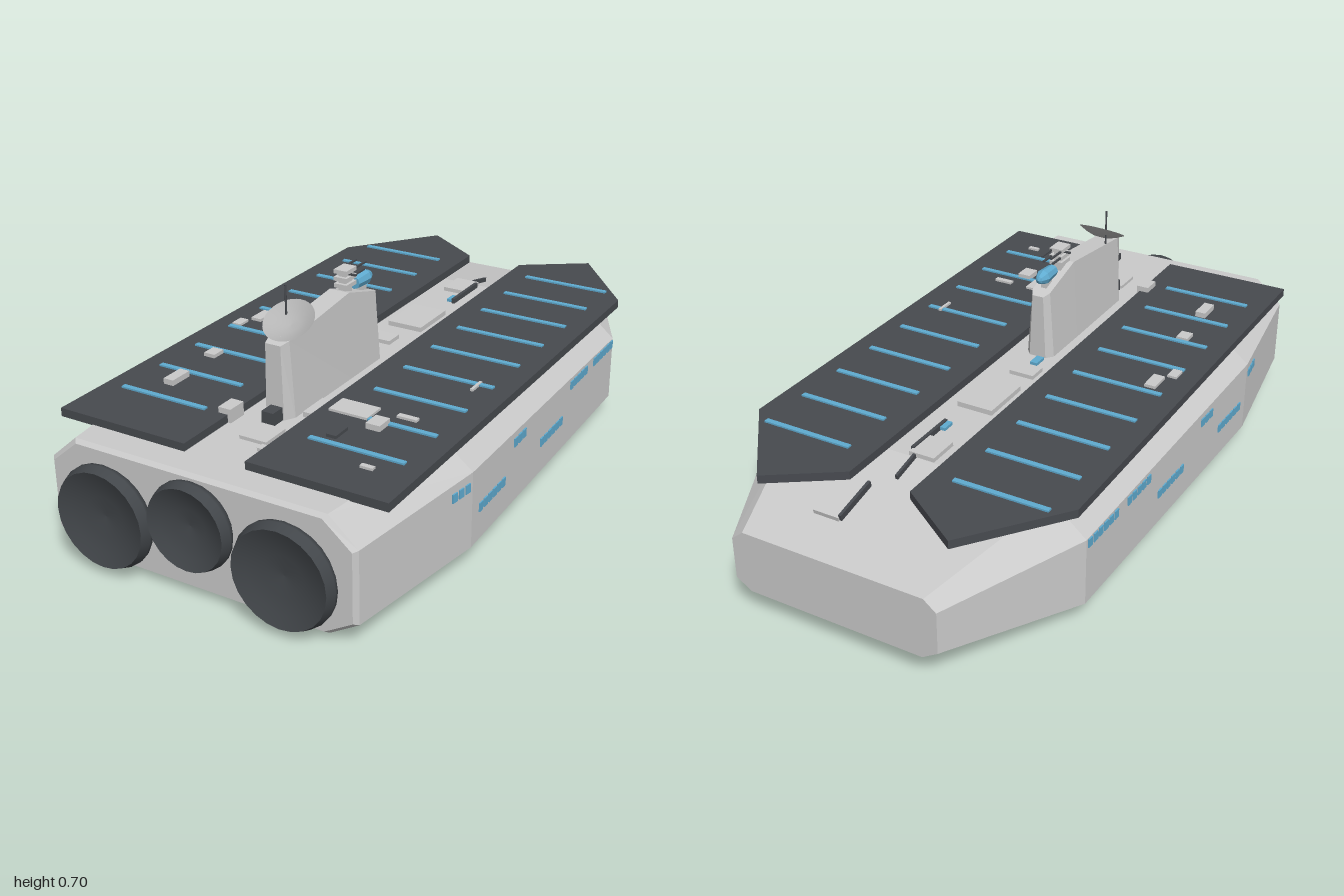
import * as THREE from 'three';

function mat(name, color) {
  const m = new THREE.MeshStandardMaterial({ color });
  m.name = name;
  return m;
}

// Skin a list of rings (ordered from -z to +z, each counter-clockwise seen from +z)
function loft(rings) {
  const pos = [];
  const tri = (a, b, c) => pos.push(...a, ...b, ...c);
  const n = rings[0].length;
  for (let s = 0; s < rings.length - 1; s++) {
    for (let i = 0; i < n; i++) {
      const j = (i + 1) % n, A = rings[s], B = rings[s + 1];
      tri(A[i], A[j], B[j]);
      tri(A[i], B[j], B[i]);
    }
  }
  const back = rings[0], front = rings[rings.length - 1];
  for (let i = 1; i < n - 1; i++) {
    tri(front[0], front[i], front[i + 1]);
    tri(back[0], back[i + 1], back[i]);
  }
  const g = new THREE.BufferGeometry();
  g.setAttribute('position', new THREE.Float32BufferAttribute(pos, 3));
  g.computeVertexNormals();
  return g;
}

export function createModel() {
  const grey = mat('hull grey', 0xcacaca);
  const dark = mat('dark panel', 0x474a4f);
  const blue = mat('window blue', 0x5fabd0);
  const dishGrey = mat('dish grey', 0xb4b4b4);
  dishGrey.side = THREE.DoubleSide;
  const engineDark = mat('engine dark', 0x42464a);
  engineDark.side = THREE.DoubleSide;

  const root = new THREE.Group();
  const add = (name, geo, material, parent = root) => {
    const m = new THREE.Mesh(geo, material);
    m.name = name;
    parent.add(m);
    return m;
  };
  // Box given by its extents
  const box = (name, material, x0, x1, y0, y1, z0, z1, parent = root) => {
    const m = add(name, new THREE.BoxGeometry(x1 - x0, y1 - y0, z1 - z0), material, parent);
    m.position.set((x0 + x1) / 2, (y0 + y1) / 2, (z0 + z1) / 2);
    return m;
  };

  // Hull: z, half widths at top, side and bottom, then heights from top to bottom
  const stations = [
    [-1, 0.28, 0.317, 0.27, 0.265, 0.235, 0.11, 0.08],
    [-0.59, 0.41, 0.515, 0.42, 0.355, 0.265, 0.06, 0],
    [0.47, 0.45, 0.54, 0.43, 0.36, 0.288, 0.06, 0],
    [0.94, 0.39, 0.475, 0.39, 0.36, 0.285, 0.075, 0.023],
    [0.952, 0.38, 0.463, 0.38, 0.35, 0.28, 0.08, 0.03],
  ];
  add('hull', loft(stations.map(([z, t, w, b, y3, y2, y1, y0]) => [
    [t, y3, z], [-t, y3, z], [-w, y2, z], [-w, y1, z],
    [-b, y0, z], [b, y0, z], [w, y1, z], [w, y2, z],
  ])), grey);

  // Side windows: first z, count, height
  const sideAt = (z) => {
    const i = z > 0.47 ? 2 : 1, a = stations[i], b = stations[i + 1];
    const slope = (b[2] - a[2]) / (b[0] - a[0]);
    return [a[2] + slope * (z - a[0]), slope];
  };
  const rows = [[0.553, 3, 0.25], [0.192, 3, 0.25], [-0.23, 5, 0.25], [-0.425, 6, 0.25],
    [0.417, 6, 0.16], [-0.005, 6, 0.16]];
  for (const side of [-1, 1]) {
    for (const [z0, count, y] of rows) {
      for (let k = 0; k < count; k++) {
        const z = z0 - k * 0.0295, [w, slope] = sideAt(z);
        const m = add('sideWindow', new THREE.BoxGeometry(0.008, 0.026, 0.02), blue);
        m.position.set(side * w, y, z);
        m.rotation.y = side * Math.atan(slope);
      }
    }
  }

  // Engine nozzles with shallow bowls
  for (const [x, y, r] of [[-0.28, 0.17, 0.15], [0, 0.225, 0.126], [0.28, 0.17, 0.15]]) {
    const profile = [[0.86, -0.01], [1, 0.014], [1, 0.024], [0.93, 0.05]];
    const bowl = [[0.93, 0.05], [0.7, 0.037], [0.4, 0.026], [0, 0.02]];
    const part = new THREE.Group();
    part.name = 'engine';
    for (const [name, pts] of [['engineRim', profile], ['engineBowl', bowl]]) {
      add(name, new THREE.LatheGeometry(pts.map(([a, b]) => new THREE.Vector2(a * r, b)), 24), engineDark, part);
    }
    part.rotation.x = Math.PI / 2;
    part.position.set(x, y, 0.95);
    root.add(part);
  }

  // Two deck panels with blue stripes
  for (const s of [-1, 1]) {
    const outline = [[0.095, 0.86], [0.51, 0.86], [0.51, -0.63], [0.295, -0.905], [0.095, -0.77]];
    const shape = new THREE.Shape(outline.map(([x, z]) => new THREE.Vector2(s * x, z)));
    const g = new THREE.ExtrudeGeometry(shape, { depth: 0.025, bevelEnabled: false });
    g.rotateX(Math.PI / 2);
    add('deckPanel', g, dark).position.y = 0.383;
    for (let i = -4; i <= 4; i++) {
      const stripe = add('panelStripe', new THREE.BoxGeometry(0.285, 0.006, 0.016), blue);
      stripe.position.set(s * 0.308, 0.385, i * 0.168);
    }
  }

  // Tower: z, top half width, bottom half width, top height
  add('tower', loft([
    [0.078, 0.018, 0.028, 0.562], [0.1, 0.03, 0.046, 0.57], [0.25, 0.032, 0.047, 0.615],
    [0.555, 0.033, 0.047, 0.582], [0.585, 0.024, 0.029, 0.576],
  ].map(([z, t, b, y]) => [[t, y, z], [-t, y, z], [-b, 0.35, z], [b, 0.35, z]])), grey);

  // Dish and whip antenna
  const dishProfile = [[0, -0.018], [0.025, -0.016], [0.05, -0.008], [0.074, 0.004]];
  const dish = add('dish', new THREE.LatheGeometry(dishProfile.map((p) => new THREE.Vector2(...p)), 32), dishGrey);
  dish.position.set(0, 0.615, 0.505);
  dish.rotation.x = Math.PI / 6;
  add('antenna', new THREE.CylinderGeometry(0.003, 0.003, 0.115, 8), dark).position.set(-0.029, 0.645, 0.475);

  // Sensor mast
  box('mast', grey, -0.012, 0.012, 0.6, 0.665, 0.2, 0.235);
  for (const y of [0.625, 0.645, 0.667]) {
    box('mastPlate', grey, -0.021, 0.021, y - 0.005, y + 0.007, 0.19, 0.245);
  }
  for (const x of [-0.016, 0.016]) {
    box('mastBar', dark, x - 0.003, x + 0.003, 0.645, 0.65, 0.14, 0.2);
    box('mastBar', dark, x - 0.003, x + 0.003, 0.665, 0.67, 0.13, 0.2);
  }
  box('crossBar', dark, -0.035, 0.037, 0.655, 0.66, 0.215, 0.222);
  box('podSupport', grey, -0.009, 0.009, 0.56, 0.595, 0.115, 0.15);

  // Pod pointing backwards
  const pod = add('sensorPod', new THREE.LatheGeometry(
    [[0, -0.045], [0.019, -0.045], [0.023, 0.015], [0.012, 0.04], [0, 0.046]]
      .map((p) => new THREE.Vector2(...p)), 8).toNonIndexed(), blue);
  pod.geometry.computeVertexNormals();
  pod.rotation.x = -Math.PI / 2;
  pod.position.set(0, 0.612, 0.125);

  // Deck fittings on the centre lane: material, x0, x1, z0, z1, top
  const deckParts = [
    [grey, -0.06, 0.055, -0.3, -0.135, 0.372], [grey, -0.06, 0.02, -0.06, 0, 0.37],
    [grey, -0.015, 0.07, 0.64, 0.73, 0.37], [grey, 0.06, 0.095, 0.44, 0.54, 0.375],
    [grey, 0.065, 0.1, 0.74, 0.765, 0.37], [dark, -0.013, 0.025, 0.575, 0.63, 0.398],
    [dark, 0.025, 0.035, -0.57, -0.4, 0.372], [blue, 0.008, 0.026, -0.44, -0.4, 0.368],
    [blue, -0.03, -0.006, 0.02, 0.065, 0.368], [grey, -0.125, -0.085, 0.61, 0.67, 0.4],
  ];
  for (const [m, x0, x1, z0, z1, top] of deckParts) {
    box('deckFitting', m, x0, x1, m === blue ? 0.359 : 0.345, top, z0, z1);
  }

  // Fittings on the sloping rear deck
  const slope = new THREE.Group();
  slope.name = 'rearDeckFittings';
  slope.position.set(0, 0.355, -0.59);
  slope.rotation.x = -Math.atan(0.09 / 0.41);
  root.add(slope);
  box('rearHatch', grey, 0.065, 0.145, -0.005, 0.013, -0.285, -0.135, slope);
  box('rearBar', dark, 0.058, 0.067, -0.005, 0.018, -0.28, -0.14, slope);
  box('rearBar', dark, 0.005, 0.013, -0.005, 0.014, -0.092, 0, slope);
  box('midHatch', grey, -0.05, 0.03, 0.345, 0.368, -0.588, -0.49);

  // Small fittings on the panels: material, x0, x1, z0, z1, top
  const panelParts = [
    [grey, -0.42, -0.385, 0.025, 0.095, 0.392], [grey, -0.45, -0.42, 0.11, 0.155, 0.39],
    [grey, -0.382, -0.345, 0.345, 0.39, 0.394], [grey, -0.365, -0.332, 0.525, 0.6, 0.4],
    [grey, 0.125, 0.245, 0.44, 0.513, 0.39], [grey, 0.305, 0.365, 0.442, 0.46, 0.39],
    [grey, 0.265, 0.308, 0.5, 0.555, 0.4], [grey, 0.36, 0.397, 0.73, 0.745, 0.39],
    [grey, 0.4, 0.409, 0.155, 0.215, 0.39], [dark, 0.2, 0.23, 0.585, 0.645, 0.392],
  ];
  for (const [m, x0, x1, z0, z1, top] of panelParts) box('panelFitting', m, x0, x1, 0.375, top, z0, z1);

  return root;
}
